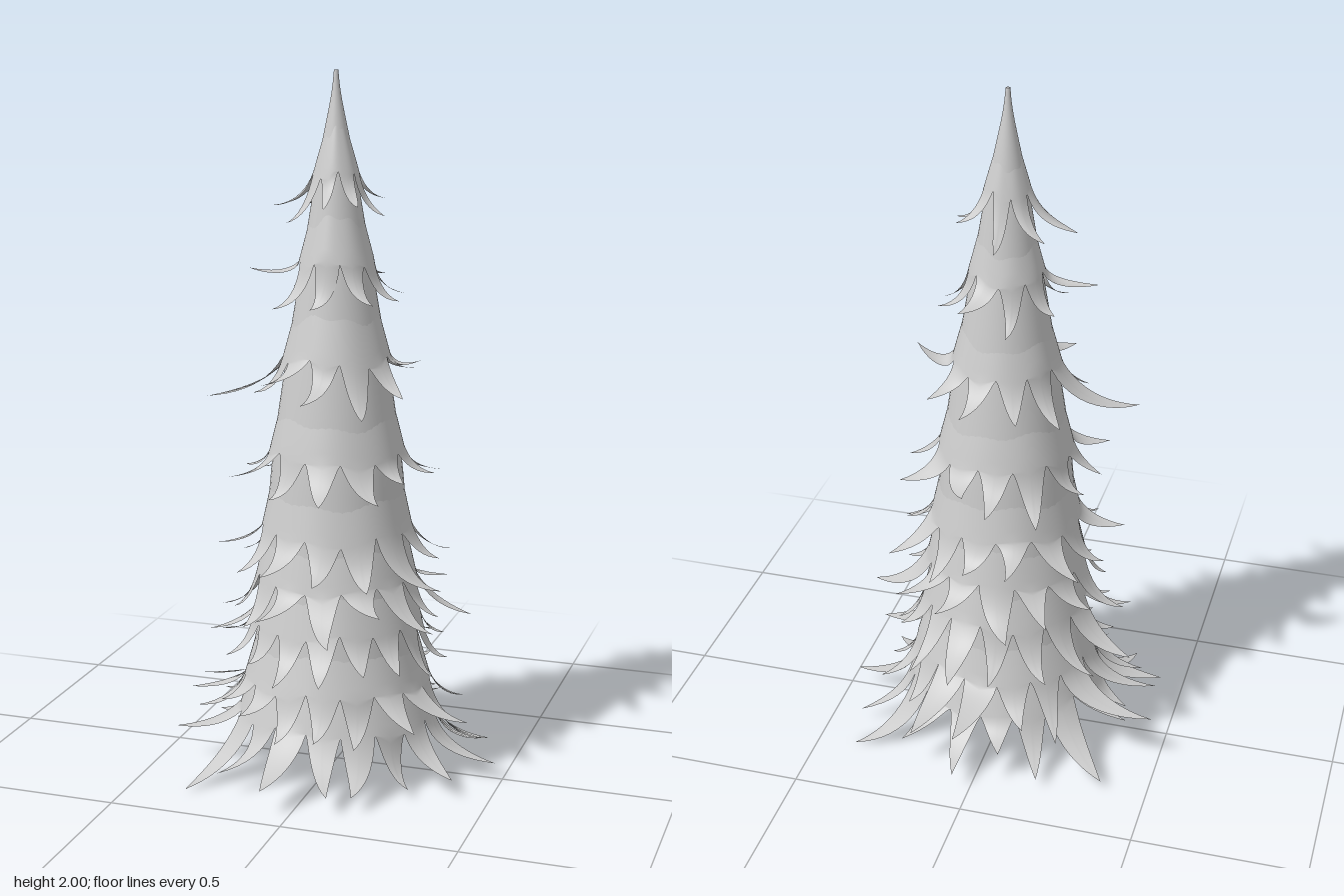
import * as THREE from 'three';

const material = new THREE.MeshStandardMaterial({ color: 0xcccccc, side: THREE.DoubleSide });

// Inner cone as a smooth curve of radius and height, bottom to top
const profile = new THREE.SplineCurve([
  [0.266, 0.18], [0.235, 0.4], [0.2, 0.75], [0.18, 0.95], [0.143, 1.2],
  [0.096, 1.48], [0.054, 1.73], [0.016, 1.92], [0.006, 2],
].map(([r, y]) => new THREE.Vector2(r, y))).getPoints(64);

// Skirts of pointed boughs, top to bottom: height of the notches
// and the tips [x, y, z] of the boughs that stand out
const TIERS = [
  { y: 1.72, tips: [[-0.2, 1.62, -0.02], [0.15, 1.61, 0.03]] },
  { y: 1.48, tips: [[-0.25, 1.45, 0.03], [-0.03, 1.36, 0.15]] },
  { y: 1.21, tips: [[-0.37, 1.08, 0.06], [0.26, 1.22, 0]] },
  { y: 0.94, tips: [[0.05, 0.9, -0.28]] },
  { y: 0.72, tips: [[0.34, 0.58, 0.1]] },
  { y: 0.58, tips: [[0.38, 0.46, -0.08], [-0.09, 0.47, -0.33]] },
  { y: 0.45, tips: [[-0.4, 0.33, -0.1], [0.06, 0.36, -0.41]] },
  { y: 0.28, tips: [[-0.48, 0.16, -0.15], [0.42, 0.2, 0.1], [0.03, 0.22, -0.47], [0.16, 0.2, -0.45], [-0.46, 0.17, 0]] },
  { y: 0.175, tips: [[0.48, 0.05, 0.01], [0.39, 0, -0.29], [-0.33, 0.01, 0.37], [-0.07, 0.08, 0.47],
    [-0.37, 0.04, -0.32], [-0.45, 0.1, 0.14], [0.4, 0.06, 0.19], [0.16, 0.05, 0.37]] },
];

function makeRandom(seed) {
  return () => {
    seed = (seed * 16807) % 2147483647;
    return seed / 2147483647;
  };
}

function coreRadius(y) {
  const i = Math.max(1, profile.findIndex((p) => p.y >= y));
  const a = profile[i - 1], b = profile[i];
  return a.x + ((b.x - a.x) * (y - a.y)) / (b.y - a.y);
}

// The tree leans slightly towards its top
const lean = (y) => Math.max(0, (y - 1.1) / 0.9);
const leanX = (y) => -0.01 * lean(y);
const leanZ = (y) => -0.022 * lean(y);

const wrapAngle = (a) => Math.atan2(Math.sin(a), Math.cos(a));

function createCore() {
  const wall = new THREE.LatheGeometry(profile, 48);
  const p = wall.attributes.position;
  for (let i = 0; i < p.count; i++) {
    const y = p.getY(i);
    p.setXYZ(i, p.getX(i) + leanX(y), y, p.getZ(i) + leanZ(y));
  }
  const cone = new THREE.Mesh(wall, material);
  cone.name = 'innerCone';
  const base = new THREE.Mesh(new THREE.CircleGeometry(profile[0].x, 48), material);
  base.name = 'baseDisc';
  base.rotation.x = Math.PI / 2;
  base.position.y = profile[0].y;
  const cap = new THREE.Mesh(new THREE.CircleGeometry(0.006, 16), material);
  cap.name = 'tipCap';
  cap.rotation.x = -Math.PI / 2;
  cap.position.set(leanX(2), 2, leanZ(2));
  const core = new THREE.Group();
  core.name = 'core';
  core.add(cone, base, cap);
  return core;
}

// One skirt: a collar on the cone that splits into curling pointed boughs
function createSkirt(tier, index) {
  const random = makeRandom(1237 + index * 7919);
  const COLS = 20, COLLAR = 4, ROWS = 10;
  const count = Math.round(8 + index * 1.25);
  const step = (Math.PI * 2) / count, start = random() * step;
  const notch = (a) => tier.y + 0.008 * Math.sin(3 * a + index) + 0.006 * Math.sin(7 * a + 2 * index);
  const flare = 0.008 + 0.001 * index;
  const radius = (y) => coreRadius(y) + flare;

  const boughs = Array.from({ length: count }, (_, i) => ({
    angle: start + i * step,
    skew: (random() - 0.5) * step * 0.5,
    out: 0.06 + (0.05 + 0.007 * index) * random(),
    drop: 0.055 + 0.08 * random(),
    bend: 0.1 + 0.25 * random(),
    power: 1.05 + 0.5 * random(),
    chosen: false,
  }));
  // Give each chosen tip to the nearest free bough
  for (const [x, y, z] of tier.tips) {
    const angle = Math.atan2(x, z);
    const gap = (b) => Math.abs(wrapAngle(angle - b.angle)) + (b.chosen ? 10 : 0);
    const bough = boughs.reduce((best, b) => (gap(b) < gap(best) ? b : best));
    bough.skew = wrapAngle(angle - bough.angle);
    bough.out = Math.hypot(x, z) - radius(notch(bough.angle));
    bough.drop = notch(bough.angle) - y;
    bough.power = 0.9;
    bough.chosen = true;
  }

  const positions = [], indices = [];
  const rows = COLLAR + ROWS + 1, total = count * COLS;
  for (let c = 0; c < total; c++) {
    const b = boughs[Math.floor(c / COLS)];
    const t = ((c % COLS) / COLS) * 2 - 1;
    const angle = b.angle + (t * step) / 2;
    const reach = Math.pow(1 - Math.abs(t), b.power);
    const y0 = notch(angle), r0 = radius(y0);
    for (let k = 0; k < rows; k++) {
      let r, y, a = angle;
      if (k < COLLAR) {
        const f = 1 - k / COLLAR;
        y = y0 + 0.12 * f;
        r = coreRadius(y) + flare - (flare + 0.003) * f;
      } else {
        // Quadratic curve: down along the cone, then outwards
        const s = (reach * (k - COLLAR)) / ROWS, m = 2 * s * (1 - s);
        const dip = Math.max(b.drop * 0.9, 0.05);
        r = r0 + m * b.out * b.bend + s * s * b.out;
        y = y0 - m * dip - s * s * b.drop;
        a += b.skew * s * s;
      }
      positions.push(Math.sin(a) * r + leanX(tier.y), Math.max(0, y), Math.cos(a) * r + leanZ(tier.y));
      if (k < rows - 1) {
        const p = c * rows + k, q = ((c + 1) % total) * rows + k;
        indices.push(p, p + 1, q + 1, p, q + 1, q);
      }
    }
  }
  const geometry = new THREE.BufferGeometry();
  geometry.setAttribute('position', new THREE.Float32BufferAttribute(positions, 3));
  geometry.setIndex(indices);
  geometry.computeVertexNormals();
  const skirt = new THREE.Mesh(geometry, material);
  skirt.name = `boughSkirt${index + 1}`;
  return skirt;
}

export function createModel() {
  const tree = new THREE.Group();
  tree.name = 'coniferTree';
  tree.add(createCore());
  TIERS.forEach((tier, i) => tree.add(createSkirt(tier, i)));
  return tree;
}
